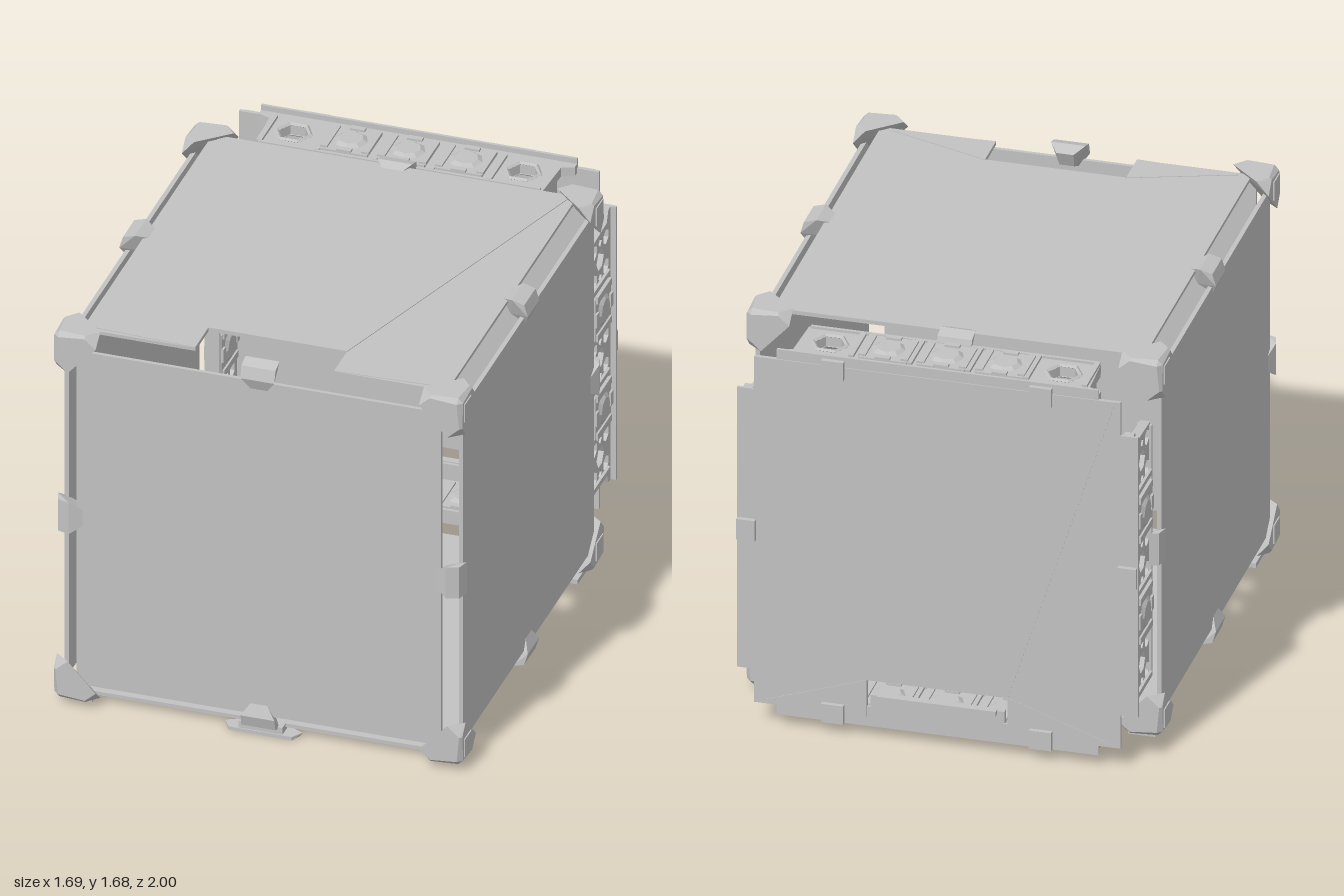
import * as THREE from 'three';
import { ConvexGeometry } from 'three/addons/geometries/ConvexGeometry.js';

const grey = new THREE.MeshStandardMaterial({ color: 0xc2c2c2, flatShading: true });
grey.name = 'plain grey';

const HX = 0.84, Y0 = 0.03, Y1 = 1.68, Z0 = -0.74, Z1 = 1.0; // bracket envelope
const CY = 0.85, CZ = 0.125;

function add(parent, name, geo, x = 0, y = 0, z = 0) {
  const m = new THREE.Mesh(geo, grey);
  m.name = name;
  m.position.set(x, y, z);
  parent.add(m);
  return m;
}
const box = (w, h, d) => new THREE.BoxGeometry(w, h, d);
const hull = pts => new ConvexGeometry(pts.map(p => new THREE.Vector3(...p)));
const poly = pts => new THREE.Shape(pts.map(p => new THREE.Vector2(...p)));
function extrude(shape, depth) {
  const g = new THREE.ExtrudeGeometry(shape, { depth, bevelEnabled: false, curveSegments: 5 });
  g.translate(0, 0, -depth / 2);
  return g;
}

// Panel with a notch in its lower edge and a slightly raised tapered centre
function notchedPanel(name, hw, hh) {
  const g = new THREE.Group();
  g.name = name;
  const n = 0.285, top = -hh + 0.16;
  add(g, 'panelSheet', extrude(poly([
    [-hw, -hh], [-n, -hh], [-n, top], [n, top], [n, -hh], [hw, -hh], [hw, hh], [-hw, hh]]), 0.014));
  add(g, 'raisedCentre', extrude(poly([
    [-n, top], [n, top], [hw - 0.02, hh], [-hw + 0.02, hh]]), 0.004), 0, 0, 0.008);
  for (const s of [-1, 1]) {
    const pts = [[s * n, -hh], [s * (hw - 0.05), -hh + 0.02], [s * n, top]];
    add(g, 'raisedCorner', extrude(poly(pts), 0.003), 0, 0, 0.008);
  }
  return g;
}

// Corner bracket: three chamfered arms meeting at one outer corner
function cornerBracket(parent, sx, sy, sz) {
  const face = [[0.02, 0.02], [0.13, 0.01], [0.175, 0.05], [0.06, 0.175], [0.01, 0.13]];
  const pts = [];
  for (const [a, b] of face) pts.push([a, b, 0], [0, a, b], [b, 0, a]);
  add(parent, 'cornerBracket', hull(pts.map(([a, b, c]) => [
    sx * (HX - a), sy > 0 ? Y1 - b : Y0 + b, sz > 0 ? Z1 - c : Z0 + c])));
  // raised knuckle on the outer side
  add(parent, 'cornerKnuckle', box(0.02, 0.08, 0.08), sx * (HX - 0.005),
    sy > 0 ? Y1 - 0.07 : Y0 + 0.07, sz > 0 ? Z1 - 0.07 : Z0 + 0.07);
  if (sy < 0) {
    add(parent, 'cornerFoot', box(0.11, 0.02, 0.19), sx * 0.75, 0.022, sz > 0 ? 0.86 : -0.61);
  }
}

// Middle bracket: a wedge on an edge, running along local z, corner toward +x +y
function edgeBracket() {
  const pts = [];
  for (const s of [-1, 1]) {
    for (const [a, b] of [[0.015, 0.015], [0.065, 0], [0, 0.065]]) pts.push([-a, -b, s * 0.07]);
    pts.push([-0.115, -0.02, s * 0.035], [-0.02, -0.115, s * 0.035], [-0.085, -0.085, s * 0.03]);
  }
  return hull(pts);
}

// Truss in the XY plane: length along x, depth 0 to 0.26 along y.
// Cell letters: W web of holes, H single hexagon hole, S solid machine block
function truss(name, cells, pitch) {
  const g = new THREE.Group();
  g.name = name;
  const L = cells.length * pitch / 2;
  const shape = poly([[-L, 0], [L, 0], [L + 0.01, 0.2], [L + 0.06, 0.22],
    [L + 0.06, 0.26], [-L - 0.06, 0.26], [-L - 0.06, 0.22], [-L - 0.01, 0.2]]);
  const hole = (x, y, r, sides, turn = 0) => {
    const pts = [];
    for (let i = 0; i < sides; i++) {
      const a = turn - i * 2 * Math.PI / sides;
      pts.push(new THREE.Vector2(x + r * Math.cos(a), y + r * Math.sin(a)));
    }
    shape.holes.push(new THREE.Path(pts));
  };
  [...cells].forEach((c, i) => {
    const x = -L + pitch * (i + 0.5), y = 0.12;
    if (c === 'H') hole(x, y, 0.062, 6);
    if (c === 'W') {
      hole(x, y, 0.045, 6, Math.PI / 6);
      for (const s of [-1, 1]) for (const t of [-1, 1]) hole(x + s * 0.066, y + t * 0.07, 0.033, 6);
      for (const s of [-1, 1]) hole(x + s * 0.078, y, 0.02, 4);
    }
    for (const s of [-1, 1]) { // fittings on both broad sides
      if (c === 'S') {
        add(g, 'machineBlock', box(pitch * 0.82, 0.19, 0.012), x, y, s * 0.026);
        const drum = add(g, 'machineDrum', new THREE.CylinderGeometry(0.05, 0.075, 0.016, 8), x, y, s * 0.036);
        drum.rotation.x = s * Math.PI / 2;
        for (const t of [-1, 1]) {
          add(g, 'machinePipe', box(0.03, 0.17, 0.012), x + t * 0.085, y, s * 0.034);
          add(g, 'machineClamp', box(0.06, 0.025, 0.01), x, y + t * 0.085, s * 0.036);
        }
      } else if (c === 'H') {
        const ring = add(g, 'holeRing', new THREE.TorusGeometry(0.07, 0.01, 4, 6), x, y, s * 0.022);
        ring.scale.z = 0.8;
      }
      add(g, 'cellRib', box(0.022, 0.2, 0.012), x - pitch / 2 + 0.011, y - 0.01, s * 0.026);
    }
  });
  add(g, 'trussCore', extrude(shape, 0.04));
  add(g, 'innerRail', box(2 * L - 0.02, 0.014, 0.06), 0, 0.008, 0);
  add(g, 'outerFlange', box(2 * L + 0.12, 0.012, 0.085), 0, 0.254, 0);
  return g;
}

export function createModel() {
  const model = new THREE.Group();
  model.name = 'panelledCube';

  // Fixed panels
  add(model, 'frontPanel', box(1.5, 1.5, 0.016), 0, CY, 0.972);
  add(model, 'bottomPanel', box(1.5, 0.016, 1.59), 0, 0.036, CZ);
  for (const s of [-1, 1]) {
    add(model, s > 0 ? 'leftPanel' : 'rightPanel', box(0.018, 1.5, 1.59), s * 0.811, CY, CZ);
  }
  const lid = notchedPanel('topPanel', 0.75, 0.79);
  lid.rotation.x = -Math.PI / 2;
  lid.position.set(0, 1.655, 0.12);
  model.add(lid);

  // Brackets on the corners and in the middle of the edges
  const brackets = new THREE.Group();
  brackets.name = 'brackets';
  model.add(brackets);
  const wedge = edgeBracket();
  for (const a of [-1, 1]) for (const b of [-1, 1]) {
    for (const c of [-1, 1]) cornerBracket(brackets, a, b, c);
    const y = b > 0 ? Y1 : Y0, z = b > 0 ? Z1 : Z0;
    const side = add(brackets, 'sideEdgeBracket', wedge, a * HX, y, CZ);
    side.rotation.set(0, a > 0 ? 0 : Math.PI, b > 0 ? 0 : (a > 0 ? -Math.PI / 2 : -Math.PI / 2));
    const up = add(brackets, 'uprightEdgeBracket', wedge, a * HX, CY, z);
    up.rotation.set(b > 0 ? Math.PI / 2 : -Math.PI / 2, 0, 0);
    if (a < 0) {
      up.rotation.set(0, 0, 0);
      up.quaternion.setFromAxisAngle(new THREE.Vector3(0, 1, 0), Math.PI)
        .multiply(new THREE.Quaternion().setFromAxisAngle(new THREE.Vector3(1, 0, 0), b > 0 ? -Math.PI / 2 : Math.PI / 2));
    }
    const cross = add(brackets, 'crossEdgeBracket', wedge, 0, a > 0 ? Y1 : Y0, z);
    const m = new THREE.Matrix4().makeBasis(
      new THREE.Vector3(0, a, 0), new THREE.Vector3(0, 0, b), new THREE.Vector3(a * b, 0, 0));
    cross.quaternion.setFromRotationMatrix(m);
  }

  // Flat winged foot under the front edge
  add(model, 'frontFootStem', box(0.18, 0.03, 0.06), 0, 0.03, 0.93);
  add(model, 'frontFoot', hull([[-0.16, 0.015, 0.92], [0.16, 0.015, 0.92], [-0.15, 0, 0.92], [0.15, 0, 0.92],
    [-0.13, 0.015, 0.965], [0.13, 0.015, 0.965], [-0.13, 0, 0.965], [0.13, 0, 0.965],
    [-0.1, 0.015, 0.89], [0.1, 0.015, 0.89]]));

  // Rear door, set back from the cube on four trusses
  const door = new THREE.Group();
  door.name = 'rearDoor';
  model.add(door);
  const sheet = notchedPanel('doorPanel', 0.74, 0.76);
  sheet.rotation.y = Math.PI;
  sheet.position.set(0, CY, -0.972);
  door.add(sheet);
  add(door, 'doorHandle', box(0.54, 0.07, 0.025), 0, 0.15, -0.965);
  add(door, 'doorHandleBar', box(0.48, 0.02, 0.03), 0, 0.18, -0.98);

  for (const s of [-1, 1]) {
    const upright = truss('sideTruss', 'WSWSW', 0.222);
    upright.rotation.set(-Math.PI / 2, 0, Math.PI / 2, 'YXZ');
    upright.quaternion.setFromRotationMatrix(new THREE.Matrix4().makeBasis(
      new THREE.Vector3(0, 1, 0), new THREE.Vector3(0, 0, -1), new THREE.Vector3(-1, 0, 0)));
    upright.position.set(s * 0.768, CY, -0.718);
    door.add(upright);

    const level = truss(s > 0 ? 'topTruss' : 'bottomTruss', 'HSSSH', 0.236);
    level.rotation.x = -Math.PI / 2;
    level.position.set(0, s > 0 ? 1.61 : 0.09, -0.718);
    door.add(level);

    add(door, 'trussPost', box(0.06, 0.15, 0.11), s * 0.56, 1.51, -0.845);
    add(door, 'sideTab', box(0.075, 0.09, 0.02), s * 0.77, CY, -0.99);
    for (const y of [0.09, 1.6]) add(door, 'endTab', box(0.09, 0.08, 0.02), s * 0.42, y, -0.99);
  }
  return model;
}
